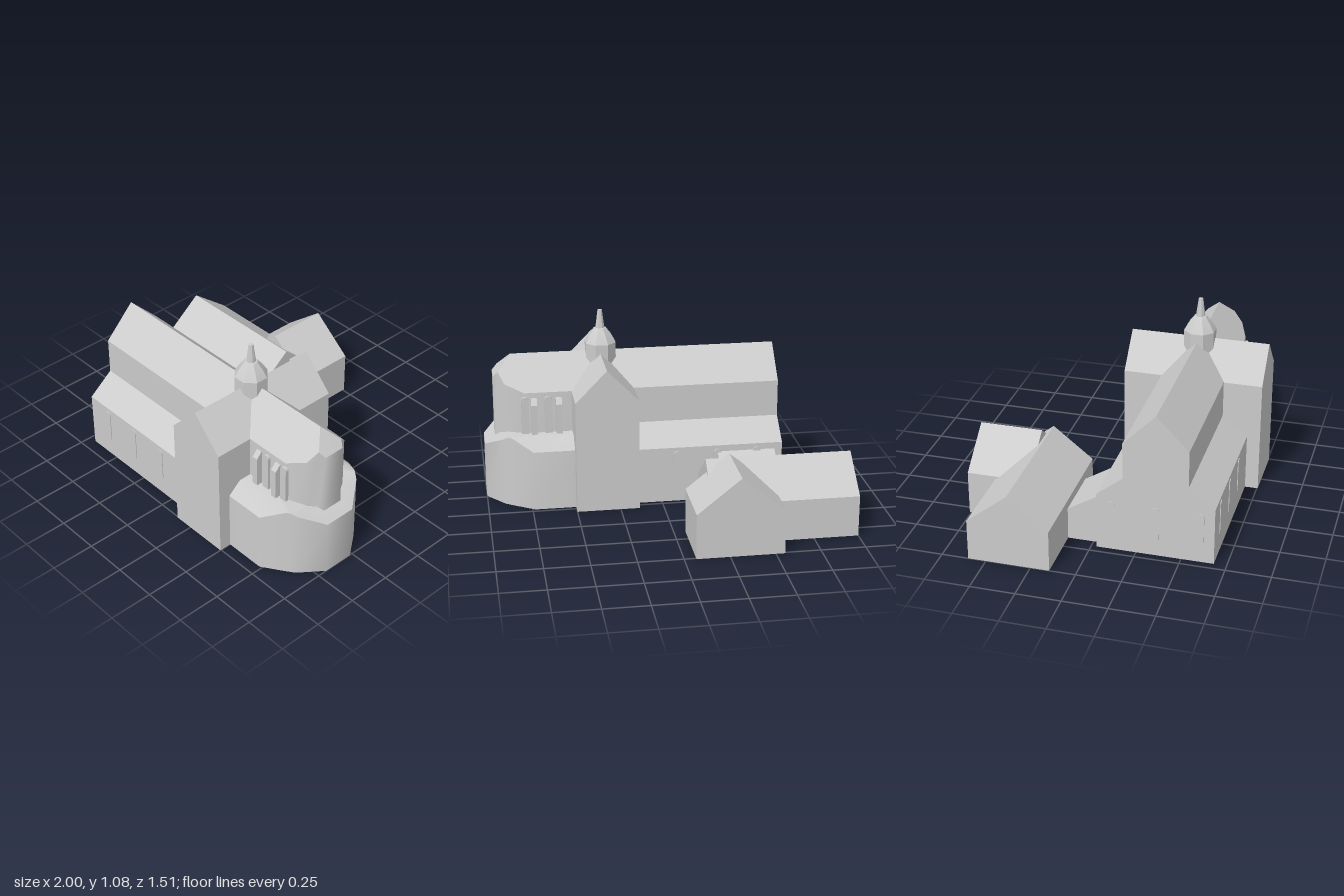
import * as THREE from 'three';
import { toCreasedNormals } from 'three/addons/utils/BufferGeometryUtils.js';

const stone = new THREE.MeshStandardMaterial({ color: 0xcccccc });
stone.name = 'pale grey stone';
const AXIS = 0.355; // z of the church's long axis

export function createModel() {
  const model = new THREE.Group();
  model.name = 'church';

  function add(name, geometry) {
    const mesh = new THREE.Mesh(geometry, stone);
    mesh.name = name;
    model.add(mesh);
    return mesh;
  }

  const extrude = (points, depth) => new THREE.ExtrudeGeometry(
    new THREE.Shape(points.map(p => new THREE.Vector2(...p))), { depth, bevelEnabled: false });

  // Section in (z, y), swept from x0 to x1
  function alongX(name, section, x0, x1) {
    const g = extrude(section.map(([z, y]) => [-z, y]), x1 - x0);
    return add(name, g.rotateY(Math.PI / 2).translate(x0, 0, 0));
  }

  // Section in (x, y), swept from z0 to z1
  const alongZ = (name, section, z0, z1) =>
    add(name, extrude(section, z1 - z0).translate(0, 0, z0));

  const gable = (a, b, eave, ridge) =>
    [[a, 0], [b, 0], [b, eave], [(a + b) / 2, ridge], [a, eave]];

  // Thin round-headed window standing on y = 0, facing +z
  function archWindow(name, width, height, depth) {
    const r = width / 2, s = new THREE.Shape();
    s.moveTo(-r, 0).lineTo(r, 0).lineTo(r, height - r);
    s.absarc(0, height - r, r, 0, Math.PI, false);
    s.closePath();
    return add(name, new THREE.ExtrudeGeometry(s, { depth, bevelEnabled: false, curveSegments: 8 }));
  }

  // Rounded east end: plan given as one half in (x, distance from axis), roof height by rule
  function eastEnd(name, half, facets, height, base) {
    const outline = [...half, ...half.map(([x, d]) => [x, -d]).reverse()];
    const wall = [], roof = [];
    const low = p => [p[0], base, AXIS + p[1]];
    const top = p => [p[0], height(p[0], Math.abs(p[1])), AXIS + p[1]];
    for (let i = 0; i < outline.length - 1; i++) {
      const [a, b] = [outline[i], outline[i + 1]];
      wall.push(...low(a), ...low(b), ...top(b), ...low(a), ...top(b), ...top(a));
    }
    const fan = (poly, place, up) => {
      for (let i = 1; i < poly.length - 1; i++) {
        const [a, b, c] = [poly[0], poly[i], poly[i + 1]];
        const turn = (b[0] - a[0]) * (c[1] - a[1]) - (b[1] - a[1]) * (c[0] - a[0]);
        const tri = (turn < 0) === up ? [a, b, c] : [a, c, b];
        tri.forEach(p => roof.push(...place(p)));
      }
    };
    for (const f of facets) {
      fan(f, top, true);
      fan(f.map(([x, d]) => [x, -d]), top, true);
    }
    fan(outline, low, false);
    for (const [part, data, crease] of [['Walls', wall, 1.0], ['Roof', roof, 0.75]]) {
      const g = new THREE.BufferGeometry();
      g.setAttribute('position', new THREE.Float32BufferAttribute(data, 3));
      add(name + part, toCreasedNormals(g, crease));
    }
  }

  // Nave with lean-to aisles, and the transept crossing it
  alongX('naveAndAisles', [
    [0.03, 0], [0.68, 0], [0.68, 0.33], [0.535, 0.445], [0.535, 0.657],
    [AXIS, 0.84], [0.175, 0.657], [0.175, 0.445], [0.03, 0.33],
  ], -0.705, 0.32);
  alongZ('transept', gable(0.14, 0.5, 0.655, 0.84), -0.045, 0.755);

  // Tall choir with a hipped apse
  eastEnd('choir',
    [[0.32, 0.18], [0.77, 0.18], [0.88, 0.135], [0.91, 0.08], [0.94, 0.06]],
    [
      [[0.32, 0], [0.835, 0], [0.91, 0.08], [0.88, 0.135], [0.77, 0.18], [0.32, 0.18]],
      [[0.835, 0], [0.94, 0], [0.94, 0.06], [0.91, 0.08]],
    ],
    (x, d) => Math.min(0.84 - 1.02 * d, 0.84 - 1.07 * (x - 0.835)), 0.3);

  // Low ambulatory wrapped around the choir
  eastEnd('ambulatory',
    [[0.4, 0.33], [0.735, 0.33], [0.853, 0.253], [0.875, 0.237], [0.9, 0.22], [1, 0.09]],
    [
      [[0.4, 0.253], [0.853, 0.253], [0.735, 0.33], [0.4, 0.33]],
      [[0.4, 0], [0.875, 0], [0.875, 0.237], [0.853, 0.253], [0.4, 0.253]],
      [[0.875, 0], [1, 0], [1, 0.09], [0.9, 0.22], [0.875, 0.237]],
    ],
    (x, d) => Math.min(0.415, 0.35 + 0.845 * (0.33 - d), 0.415 - 0.68 * (x - 0.875)), 0);

  // Aisle windows on both long sides, and windows in the west front
  for (const x of [-0.555, -0.325, -0.09]) {
    archWindow('aisleWindowFront', 0.045, 0.195, 0.006).position.set(x, 0.115, 0.678);
    const back = archWindow('aisleWindowBack', 0.045, 0.195, 0.009);
    back.position.set(x, 0.115, 0.031);
    back.rotation.y = Math.PI;
  }
  for (const z of [0.11, AXIS, 0.6]) {
    const west = archWindow('westWindow', 0.045, 0.195, 0.006);
    west.position.set(-0.703, 0.1, z);
    west.rotation.y = -Math.PI / 2;
  }

  // Choir buttresses with sloping caps, and windows between them
  for (const side of [1, -1]) {
    for (const x of [0.575, 0.717]) {
      const z = d => AXIS + side * d;
      alongX('choirButtress', [
        [z(0.17), 0.4], [z(0.215), 0.4], [z(0.215), 0.59], [z(0.185), 0.625], [z(0.17), 0.625],
      ], x - 0.017, x + 0.017);
    }
    for (const x of [0.635, 0.768]) {
      const w = archWindow('choirWindow', 0.042, 0.225, 0.02);
      w.position.set(x, 0.41, AXIS + side * 0.175);
      if (side < 0) w.rotation.y = Math.PI;
    }
  }

  // Octagonal crossing turret with cap and spire
  const profile = [[0.093, 0.7], [0.093, 0.89], [0.07, 0.93], [0.036, 0.973],
    [0.027, 0.975], [0.013, 1.08], [0, 1.08]];
  const turret = new THREE.LatheGeometry(profile.map(p => new THREE.Vector2(...p)), 8, Math.PI / 8);
  add('crossingTurret', toCreasedNormals(turret, 0.3)).position.set(0.312, 0, AXIS);

  // Annexe behind the church: passage, hall and cross wing
  alongX('passage', [[-0.2, 0], [0.05, 0], [0.05, 0.305], [-0.145, 0.185], [-0.2, 0.185]], -0.66, -0.325);
  alongX('annexeHall', gable(-0.6, -0.145, 0.235, 0.415), -1, -0.18);
  alongZ('annexeWing', gable(-0.55, -0.065, 0.255, 0.45), -0.76, -0.4);

  return model;
}
